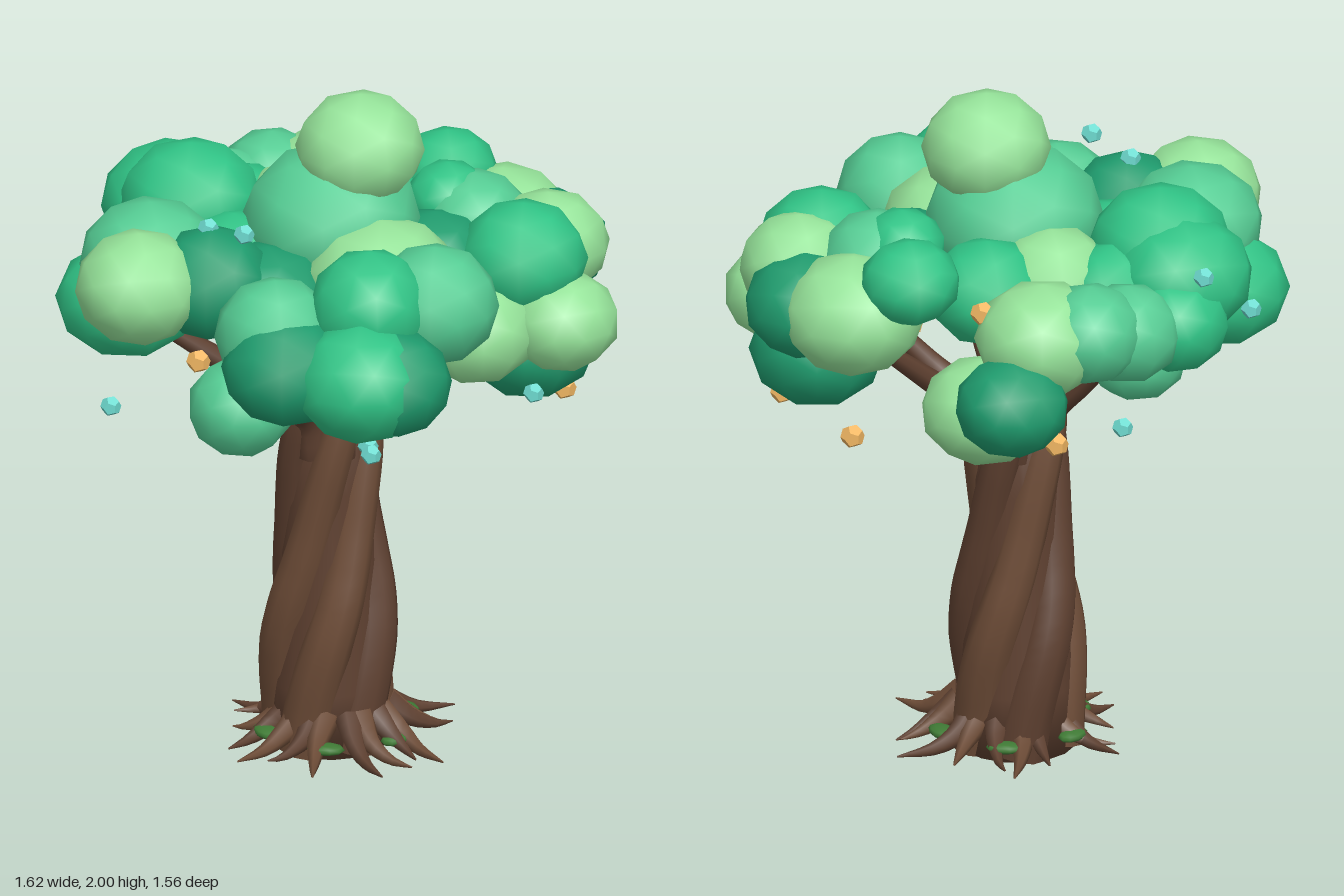
import * as THREE from 'three';

const V = (x, y, z) => new THREE.Vector3(x, y, z);
const mat = (color) => new THREE.MeshStandardMaterial({ color });
const BARK = mat(0x5e4030), BARK_LIGHT = mat(0x6d4c37), MOSS = mat(0x3f7a35);
const LEAF = { light: mat(0x96e49a), mid: mat(0x55cd94), green: mat(0x30c486), dark: mat(0x1f9c6e) };
const TEAL = mat(0x6edbd0), ORANGE = mat(0xf0b662);

// Tube along a smooth path, narrowing from radius r0 to r1
function taperedTube(points, r0, r1, steps, sides) {
  const curve = new THREE.CatmullRomCurve3(points);
  const geo = new THREE.TubeGeometry(curve, steps, 1, sides);
  const pos = geo.attributes.position;
  const v = V(0, 0, 0);
  for (let i = 0; i <= steps; i++) {
    const c = curve.getPointAt(i / steps);
    const r = THREE.MathUtils.lerp(r0, r1, i / steps);
    for (let j = 0; j <= sides; j++) {
      const k = i * (sides + 1) + j;
      v.fromBufferAttribute(pos, k).sub(c).multiplyScalar(r).add(c);
      pos.setXYZ(k, v.x, v.y, v.z);
    }
  }
  return geo;
}

function add(group, name, geo, material) {
  const mesh = new THREE.Mesh(geo, material);
  mesh.name = name;
  group.add(mesh);
  return mesh;
}

// Trunk: a core wrapped in thick strands that bulge low down and twist upward
function makeTrunk() {
  const trunk = new THREE.Group();
  trunk.name = 'trunk';
  const profile = [[0.001, 0.01], [0.17, 0.01], [0.165, 0.2], [0.14, 0.5], [0.12, 0.8], [0.11, 1.12], [0.001, 1.14]];
  const core = add(trunk, 'trunkCore', new THREE.LatheGeometry(profile.map(([r, y]) => new THREE.Vector2(r, y)), 16), BARK);
  core.position.set(0, 0, -0.055);
  const strands = 5;
  const spread = [0.115, 0.12, 0.128, 0.132, 0.124, 0.108, 0.097, 0.096, 0.1, 0.1, 0.09];
  for (let s = 0; s < strands; s++) {
    const pts = spread.map((r, i) => {
      const t = i / (spread.length - 1);
      const a = -1.1 + (s / strands) * Math.PI * 2 + 2.6 * t ** 1.2;
      return V(r * Math.sin(a), 0.02 + t * 1.11, -0.055 + r * Math.cos(a));
    });
    add(trunk, 'trunkStrand', taperedTube(pts, 0.08, 0.05, 28, 10), s % 2 ? BARK : BARK_LIGHT);
  }
  return trunk;
}

// Branches: [x, y, z] of each tip, fanning out of the trunk top
function makeBranches() {
  const group = new THREE.Group();
  group.name = 'branches';
  const tips = [[0.34, 1.34, 0.2], [-0.36, 1.28, 0.2], [0.45, 1.32, -0.08], [-0.44, 1.3, -0.2],
    [0.22, 1.34, -0.36], [-0.16, 1.34, -0.4], [-0.05, 1.38, 0.34]];
  for (const [x, y, z] of tips) {
    const d = Math.hypot(x, z);
    const ox = x / d, oz = z / d;
    const pts = [V(ox * 0.08, 0.92, -0.05 + oz * 0.08), V(ox * 0.11, 1.04, -0.05 + oz * 0.11),
      V(x * 0.6, 1.17, z * 0.6 - 0.02), V(x, y, z)];
    add(group, 'branch', taperedTube(pts, 0.05, 0.024, 14, 8), BARK);
  }
  return group;
}

// Roots: curved spikes around the foot, with moss pads between them
function makeRoots() {
  const group = new THREE.Group();
  group.name = 'roots';
  const count = 18;
  for (let i = 0; i < count; i++) {
    const a = (i / count) * Math.PI * 2 + 0.12 * Math.sin(i * 2.7);
    const reach = 0.34 + 0.04 * Math.sin(i * 4.1);
    const at = (r, y, da) => V(0.015 + r * Math.sin(a + da), y, -0.02 + r * Math.cos(a + da));
    const bend = 0.2 * Math.cos(i * 1.9);
    add(group, 'root', taperedTube([at(0.13, 0.13, 0), at(0.2, 0.08, 0), at(0.27, 0.048, bend * 0.5), at(reach, 0.04, bend)],
      0.045, 0.002, 8, 6), i % 2 ? BARK : BARK_LIGHT);
  }
  for (let i = 0; i < 6; i++) {
    const a = 0.45 + (i / 6) * Math.PI * 2;
    const moss = add(group, 'mossPad', new THREE.SphereGeometry(1, 10, 6), MOSS);
    moss.scale.set(0.055, 0.016, 0.035);
    moss.position.set(0.01 + 0.215 * Math.sin(a), 0.07, -0.03 + 0.215 * Math.cos(a));
    moss.rotation.y = a;
  }
  return group;
}

// Foliage clumps: x, y, z, horizontal radius, vertical radius
const CLUMPS = {
  light: [
    [0.07, 1.84, 0, 0.18, 0.16], [-0.63, 1.54, 0.0, 0.18, 0.16], [0.21, 1.48, -0.55, 0.19, 0.16],
    [0.33, 1.24, -0.43, 0.18, 0.15], [0.04, 1.52, 0.2, 0.22, 0.17], [0.03, 1.52, -0.3, 0.18, 0.16],
    [0.53, 1.36, 0.37, 0.16, 0.14], [0.29, 1.35, 0.3, 0.17, 0.15], [0.57, 1.47, -0.1, 0.2, 0.17],
    [0.58, 1.52, 0.18, 0.17, 0.15],
  ],
  mid: [
    [0, 1.62, -0.04, 0.25, 0.21], [-0.51, 1.54, -0.17, 0.2, 0.17], [-0.03, 1.47, -0.62, 0.15, 0.14],
    [0.1, 1.5, -0.63, 0.15, 0.14], [0.08, 1.53, 0.46, 0.18, 0.17], [-0.36, 1.47, 0.33, 0.17, 0.16],
    [-0.4, 1.2, 0.19, 0.15, 0.14], [-0.18, 1.29, -0.42, 0.14, 0.12], [0.42, 1.56, 0.02, 0.16, 0.14],
  ],
  green: [
    [-0.28, 1.6, -0.38, 0.2, 0.17], [-0.28, 1.55, -0.5, 0.2, 0.17], [-0.53, 1.38, -0.28, 0.2, 0.16],
    [-0.2, 1.46, -0.6, 0.15, 0.14], [0.46, 1.53, 0.26, 0.18, 0.16], [0.47, 1.6, -0.25, 0.14, 0.12],
    [0.37, 1.61, -0.04, 0.12, 0.11], [-0.12, 1.55, 0.45, 0.17, 0.17], [-0.21, 1.39, 0.58, 0.19, 0.17],
    [0.22, 1.52, -0.26, 0.17, 0.15], [-0.1, 1.52, -0.42, 0.15, 0.13], [-0.26, 1.5, -0.14, 0.17, 0.14],
  ],
  dark: [
    [-0.42, 1.53, 0.04, 0.17, 0.16], [0.36, 1.33, -0.63, 0.16, 0.14], [0.51, 1.24, 0.2, 0.19, 0.16],
    [0.64, 1.46, 0.05, 0.17, 0.15], [-0.37, 1.4, 0.42, 0.18, 0.16], [-0.12, 1.38, 0.61, 0.16, 0.15],
    [-0.26, 1.48, 0.08, 0.18, 0.14], [0.26, 1.5, 0.1, 0.17, 0.14], [0.06, 1.4, 0.3, 0.16, 0.15],
    [0.02, 1.42, -0.03, 0.19, 0.16],
  ],
};

function makeFoliage() {
  const group = new THREE.Group();
  group.name = 'foliage';
  const ball = new THREE.IcosahedronGeometry(1.03, 1);
  for (const [tone, list] of Object.entries(CLUMPS)) {
    list.forEach(([x, y, z, r, h], i) => {
      const clump = add(group, tone + 'LeafClump', ball, LEAF[tone]);
      clump.position.set(x, y, z);
      clump.scale.set(r, h, r);
      clump.rotation.y = i * 1.3;
    });
  }
  return group;
}

// Small berries hanging in and around the foliage
function makeBerries() {
  const group = new THREE.Group();
  group.name = 'berries';
  const ball = new THREE.DodecahedronGeometry(1, 0);
  const teal = [[-0.48, 1.42, -0.55], [-0.24, 1.62, -0.69], [-0.42, 1.69, 0.02], [-0.38, 1.72, 0.17], [0.38, 1.21, 0.49],
    [-0.69, 1.16, -0.06], [-0.14, 1.12, 0.5], [-0.12, 1.12, 0.44], [0.07, 1.25, -0.76], [-0.22, 1.2, -0.1], [-0.22, 1.25, -0.2], [0.1, 1.35, -0.28]];
  const orange = [[0.16, 1.21, 0.27], [0.56, 1.08, -0.08], [0.59, 1.1, 0.26], [-0.54, 1.37, 0.2], [0.35, 1.55, -0.45], [0.2, 1.17, -0.61]];
  for (const [list, material, r, name] of [[teal, TEAL, 0.03, 'tealBerry'], [orange, ORANGE, 0.035, 'orangeBerry']]) {
    for (const p of list) {
      const berry = add(group, name, ball, material);
      berry.position.set(...p);
      berry.scale.setScalar(r);
    }
  }
  return group;
}

export function createModel() {
  const tree = new THREE.Group();
  tree.name = 'tree';
  tree.add(makeTrunk(), makeBranches(), makeRoots(), makeFoliage(), makeBerries());
  return tree;
}
